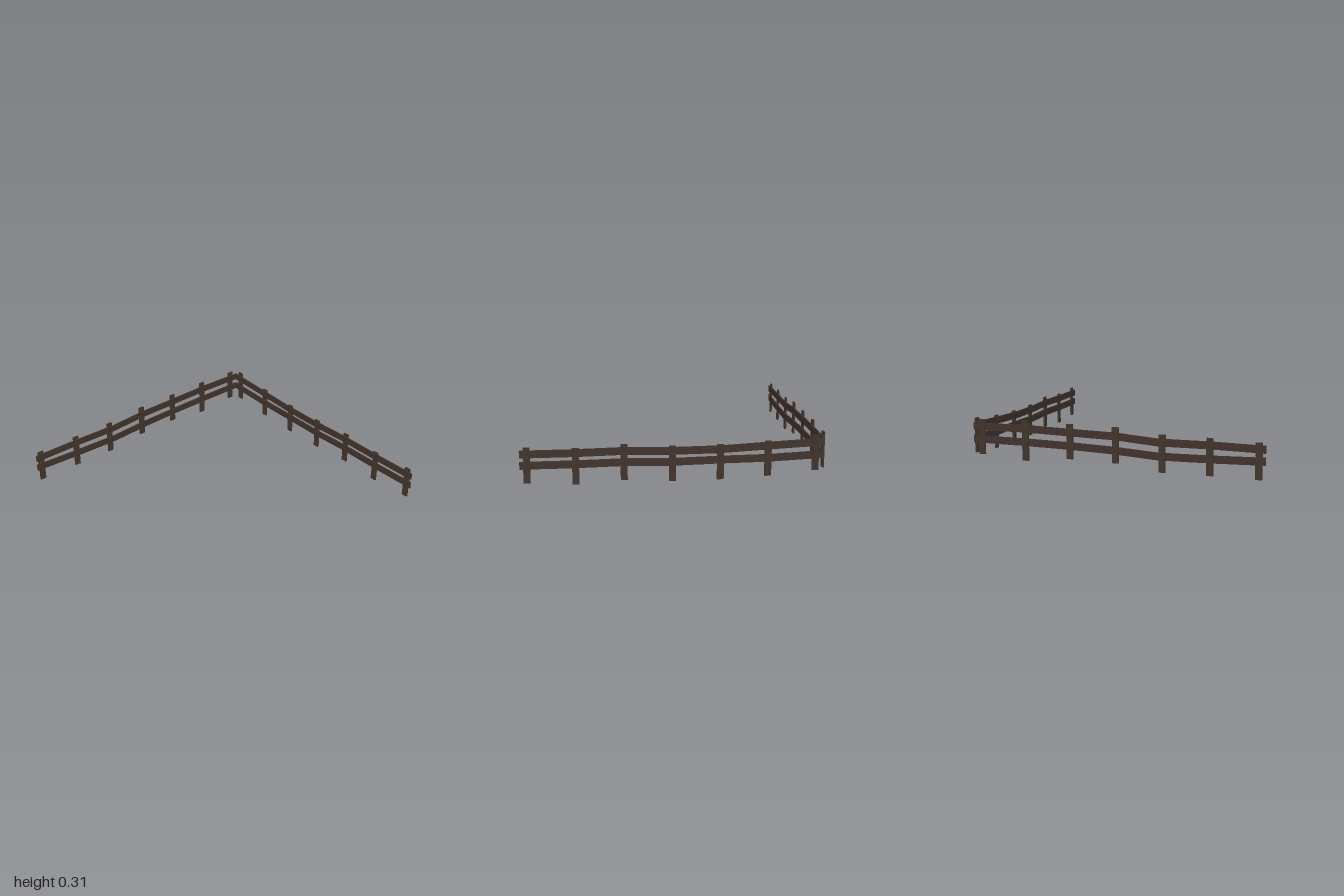
import * as THREE from 'three';

const railMaterial = new THREE.MeshStandardMaterial({ color: 0x42332c });
railMaterial.name = 'dark brown rail wood';
const postMaterial = new THREE.MeshStandardMaterial({ color: 0x41352c });
postMaterial.name = 'dark brown post wood';

const RAIL_HEIGHT = 0.05;
const POST_WIDTH = 0.045;

// Plank of constant height that follows [along, centreHeight] points
function makeRail(name, points) {
  const h = RAIL_HEIGHT / 2;
  const lower = points.map(([u, y]) => new THREE.Vector2(u, y - h));
  const upper = points.map(([u, y]) => new THREE.Vector2(u, y + h)).reverse();
  const geometry = new THREE.ExtrudeGeometry(new THREE.Shape([...lower, ...upper]), {
    depth: 0.011, bevelEnabled: false,
  });
  const rail = new THREE.Mesh(geometry, railMaterial);
  rail.position.z = -0.991;
  rail.name = name;
  return rail;
}

// One straight run: flat posts on the outside, two rails inside
function makeFence(name, posts, upperRail, lowerRail) {
  const fence = new THREE.Group();
  fence.name = name;
  posts.forEach(([u, bottom, top], i) => {
    const post = new THREE.Mesh(new THREE.BoxGeometry(POST_WIDTH, top - bottom, 0.013), postMaterial);
    post.position.set(u, (top + bottom) / 2, -0.9935);
    post.name = `post${i + 1}`;
    fence.add(post);
  });
  fence.add(makeRail('upperRail', upperRail), makeRail('lowerRail', lowerRail));
  return fence;
}

export function createModel() {
  const model = new THREE.Group();
  model.name = 'cornerFence';

  // Back run; posts are [along, bottom, top]
  const back = makeFence('backFence',
    [[-0.957, 0, 0.24], [-0.643, 0.007, 0.253], [-0.33, 0.01, 0.259], [-0.016, 0.054, 0.292],
      [0.298, 0.064, 0.299], [0.612, 0.036, 0.308], [0.926, 0.064, 0.304]],
    [[-1, 0.195], [-0.64, 0.204], [-0.3, 0.205], [-0.016, 0.23], [0.298, 0.24], [0.612, 0.251], [0.985, 0.251]],
    [[-1, 0.118], [-0.64, 0.113], [-0.3, 0.113], [-0.016, 0.135], [0.298, 0.15], [0.612, 0.159], [0.985, 0.166]]);

  // Left run, turned so its length follows z and its posts face outward
  const side = makeFence('leftFence',
    [[0.953, 0.013, 0.25], [0.639, 0, 0.24], [0.326, 0.021, 0.26], [0.012, 0.008, 0.245],
      [-0.302, 0.013, 0.248], [-0.615, 0.03, 0.267], [-0.929, 0.062, 0.3]],
    [[-0.985, 0.251], [-0.615, 0.231], [-0.302, 0.213], [0.012, 0.208], [0.326, 0.214], [0.639, 0.206], [1, 0.203]],
    [[-0.985, 0.167], [-0.615, 0.148], [-0.302, 0.143], [0.012, 0.134], [0.326, 0.139], [0.639, 0.131], [1, 0.128]]);
  side.rotation.y = -Math.PI / 2;

  model.add(back, side);
  return model;
}
